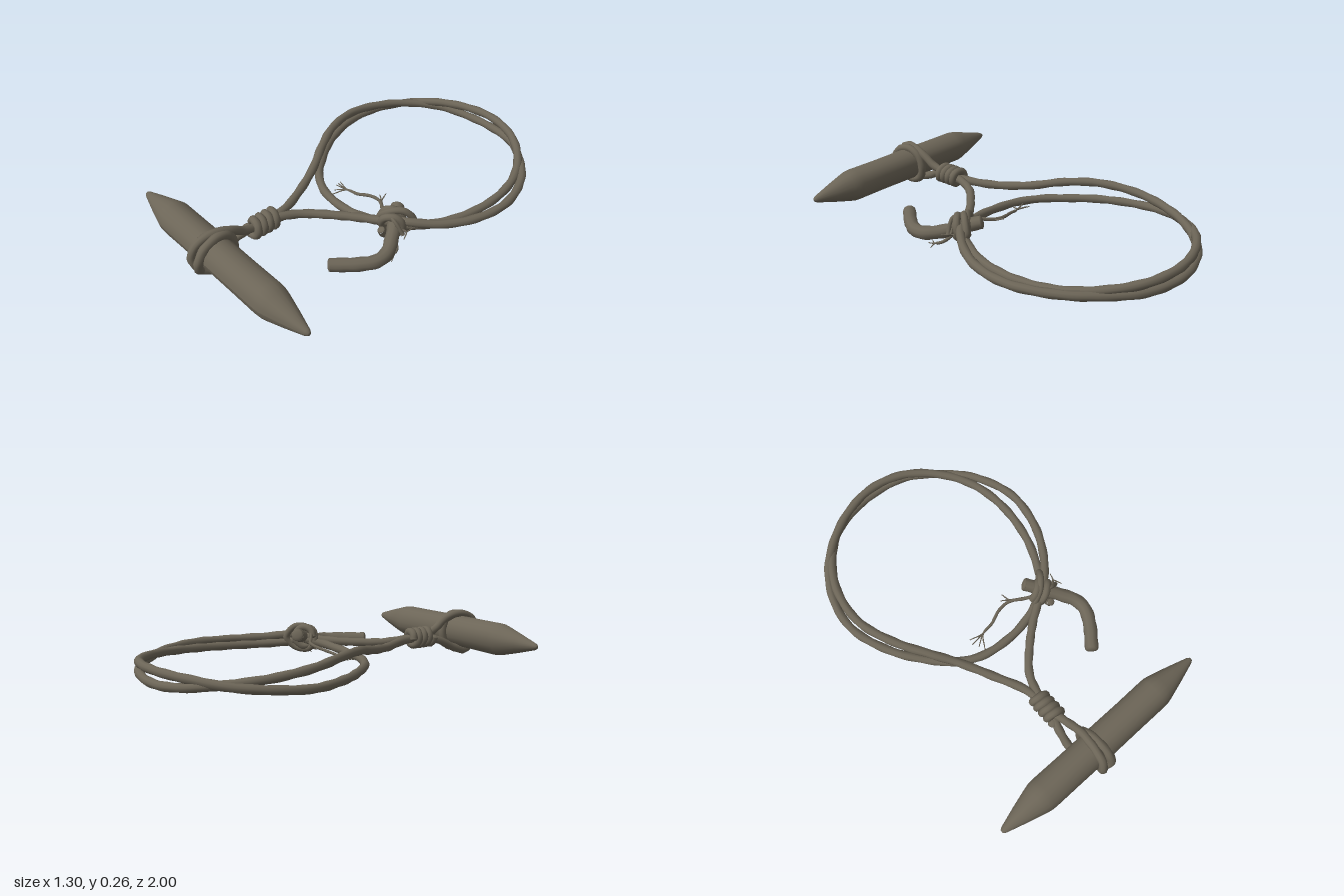
import * as THREE from 'three';

const V = (p) => new THREE.Vector3(...p);

export function createModel() {
  const group = new THREE.Group();
  const fibre = new THREE.MeshStandardMaterial({ color: 0x6c6557 });
  fibre.name = 'weathered fibre';

  const add = (name, geometry, parent = group) => {
    const mesh = new THREE.Mesh(geometry, fibre);
    mesh.name = name;
    parent.add(mesh);
    return mesh;
  };

  // Tube through points, with slight rope-like lumps and rounded ends
  const cord = (name, points, radius, { segments = 60, sides = 10, closed = false, lump = 0.06, taper = 0 } = {}) => {
    const part = new THREE.Group();
    part.name = name;
    group.add(part);
    const curve = new THREE.CatmullRomCurve3(points.map(V), closed, 'centripetal');
    const geo = new THREE.TubeGeometry(curve, segments, radius, sides, closed);
    const pos = geo.attributes.position;
    for (let i = 0; i <= segments; i++) {
      const centre = curve.getPointAt(i / segments);
      for (let j = 0; j <= sides; j++) {
        const k = i * (sides + 1) + j;
        const wave = closed ? 0 : lump * Math.sin(i * 0.9 + (j / sides) * Math.PI * 4);
        const v = new THREE.Vector3().fromBufferAttribute(pos, k).sub(centre);
        v.multiplyScalar((1 + wave) * (1 - taper * i / segments)).add(centre);
        pos.setXYZ(k, v.x, v.y, v.z);
      }
    }
    add(name + 'Strand', geo, part);
    if (!closed) {
      [[0, 1], [1, 1 - taper]].forEach(([t, s]) => {
        const cap = add(name + 'End', new THREE.SphereGeometry(radius * s, sides, 6), part);
        cap.position.copy(curve.getPointAt(t));
        cap.quaternion.setFromUnitVectors(V([0, 1, 0]), curve.getTangentAt(t));
        cap.scale.y = 0.35;
      });
    }
  };

  // Points of a coil wound around the line from a to b
  const coil = (a, b, radius, turns) => {
    const start = V(a), axis = V(b).sub(start);
    const side = new THREE.Vector3().crossVectors(axis, V([0, 1, 0])).normalize();
    const up = new THREE.Vector3().crossVectors(side, axis).normalize();
    return Array.from({ length: turns * 10 + 1 }, (_, i) => {
      const t = i / (turns * 10), w = t * turns * Math.PI * 2;
      return start.clone().addScaledVector(axis, t)
        .addScaledVector(side, Math.cos(w) * radius)
        .addScaledVector(up, Math.sin(w) * radius).toArray();
    });
  };

  // Wooden toggle, sharpened at both ends and slightly uneven
  const half = [[0, 0.65], [0.01, 0.648], [0.018, 0.635], [0.05, 0.53], [0.078, 0.43], [0.085, 0.4], [0.087, 0.37], [0.086, 0.2]];
  const profile = [
    ...half.map(([r, x]) => new THREE.Vector2(r, -x)),
    new THREE.Vector2(0.087, 0),
    ...half.slice().reverse().map(([r, x]) => new THREE.Vector2(r, x)),
  ];
  const wood = new THREE.LatheGeometry(profile, 20);
  const wp = wood.attributes.position;
  for (let i = 0; i < wp.count; i++) {
    const a = Math.atan2(wp.getZ(i), wp.getX(i));
    const s = 1 + 0.018 * Math.sin(a * 5 + wp.getY(i) * 4);
    wp.setX(i, wp.getX(i) * s);
    wp.setZ(i, wp.getZ(i) * s);
  }
  wood.computeVertexNormals();
  const toggle = add('toggle', wood);
  toggle.rotation.z = -Math.PI / 2;
  toggle.position.set(0, 0.135, 0.87);

  // Rope wrapped twice around the toggle, both ends entering the barrel knot
  cord('toggleWrap', [
    [-0.065, 0.135, 0.62], [-0.055, 0.16, 0.69], [-0.05, 0.215, 0.78], [-0.06, 0.235, 0.87],
    [-0.07, 0.21, 0.945], [-0.08, 0.135, 0.977], [-0.06, 0.055, 0.94], [-0.045, 0.037, 0.87],
    [-0.04, 0.07, 0.79], [-0.035, 0.14, 0.768], [-0.03, 0.21, 0.8], [-0.025, 0.232, 0.87],
    [-0.022, 0.2, 0.945], [-0.025, 0.135, 0.977], [-0.06, 0.06, 0.95], [-0.105, 0.035, 0.87],
    [-0.11, 0.06, 0.78], [-0.1, 0.105, 0.69], [-0.08, 0.125, 0.62],
  ], 0.022, { segments: 140 });

  // Barrel knot
  cord('barrelKnot', coil([-0.07, 0.13, 0.5], [-0.07, 0.13, 0.645], 0.038, 4), 0.021, { segments: 130 });

  // First turn of the noose, from barrel knot round to the hitch
  cord('outerLoop', [
    [-0.07, 0.13, 0.6], [-0.085, 0.125, 0.44], [-0.16, 0.12, 0.27], [-0.25, 0.14, 0.1],
    [-0.33, 0.165, -0.02], [-0.43, 0.175, -0.19], [-0.495, 0.155, -0.4], [-0.475, 0.13, -0.6],
    [-0.4, 0.11, -0.76], [-0.26, 0.085, -0.905], [-0.1, 0.07, -0.965], [0.06, 0.07, -0.975],
    [0.24, 0.08, -0.935], [0.4, 0.09, -0.82], [0.53, 0.1, -0.67], [0.61, 0.105, -0.45],
    [0.58, 0.105, -0.23], [0.49, 0.115, -0.06], [0.4, 0.13, 0.04], [0.31, 0.12, 0.1],
  ], 0.0225, { segments: 180 });

  // Second turn, starting and finishing at the hitch
  cord('innerLoop', [
    [0.36, 0.11, 0.06], [0.27, 0.1, 0.115], [0.15, 0.085, 0.15], [0.02, 0.075, 0.157],
    [-0.12, 0.07, 0.135], [-0.25, 0.068, 0.065], [-0.35, 0.068, -0.04], [-0.46, 0.07, -0.2],
    [-0.535, 0.072, -0.42], [-0.515, 0.085, -0.6], [-0.42, 0.1, -0.77], [-0.27, 0.12, -0.89],
    [-0.1, 0.13, -0.96], [0.06, 0.133, -0.977], [0.24, 0.125, -0.93], [0.4, 0.11, -0.8],
    [0.5, 0.095, -0.63], [0.533, 0.085, -0.42], [0.5, 0.08, -0.2], [0.43, 0.085, -0.04], [0.35, 0.1, 0.09],
  ], 0.0225, { segments: 180 });

  // Strand joining the hitch to the barrel knot
  cord('joiningStrand', [
    [-0.07, 0.13, 0.58], [-0.05, 0.125, 0.46], [-0.01, 0.115, 0.37], [0.09, 0.11, 0.265],
    [0.2, 0.11, 0.175], [0.3, 0.115, 0.11], [0.37, 0.12, 0.06],
  ], 0.0225);

  // Thick bent peg held by the hitch
  cord('bentPeg', [
    [0.29, 0.145, 0.005], [0.35, 0.12, 0.08], [0.41, 0.09, 0.16], [0.455, 0.075, 0.235],
    [0.458, 0.07, 0.3], [0.42, 0.07, 0.375], [0.33, 0.072, 0.485],
  ], 0.035, { segments: 50, lump: 0.04 });

  // Hitch wrapped around the peg and the strands
  cord('hitchCoil', coil([0.305, 0.13, 0.055], [0.375, 0.11, 0.125], 0.052, 2), 0.02, { segments: 70 });
  cord('hitchCross', [
    [0.27, 0.12, 0.11], [0.32, 0.175, 0.09], [0.37, 0.18, 0.04], [0.4, 0.12, 0.0],
    [0.37, 0.065, 0.04], [0.31, 0.06, 0.09],
  ], 0.018, { closed: true });

  // Thin lashing with frayed ends
  cord('lashing', [
    [0.43, 0.1, 0.1], [0.38, 0.165, 0.115], [0.3, 0.16, 0.1], [0.24, 0.13, 0.06], [0.17, 0.115, 0.015],
    [0.1, 0.105, 0.015], [0.03, 0.09, 0.04], [-0.02, 0.085, 0.045],
  ], 0.011, { sides: 6, taper: 0.3 });
  cord('lashingTail', [
    [0.3, 0.09, 0.13], [0.38, 0.06, 0.13], [0.43, 0.045, 0.14], [0.445, 0.035, 0.165],
  ], 0.01, { sides: 6, taper: 0.2, segments: 20 });

  const fray = (name, from, mid, ends) => ends.forEach((end) =>
    cord(name, [from, mid, end], 0.006, { sides: 5, segments: 8, lump: 0, taper: 0.6 }));
  fray('frayedThread', [0.02, 0.09, 0.04], [-0.04, 0.083, 0.05], [
    [-0.115, 0.08, 0.03], [-0.12, 0.07, 0.055], [-0.1, 0.065, 0.085], [-0.085, 0.06, 0.115], [-0.1, 0.095, 0.06],
  ]);
  fray('frayedTailThread', [0.43, 0.045, 0.14], [0.448, 0.033, 0.175], [
    [0.455, 0.003, 0.2], [0.44, 0.015, 0.23], [0.425, 0.025, 0.215],
  ]);
  fray('strayThread', [0.21, 0.12, 0.04], [0.18, 0.115, 0.01], [[0.165, 0.13, -0.035], [0.14, 0.12, -0.015]]);
  fray('hitchThread', [0.4, 0.12, 0.1], [0.43, 0.11, 0.08], [[0.455, 0.1, 0.12], [0.44, 0.12, 0.045]]);

  return group;
}
